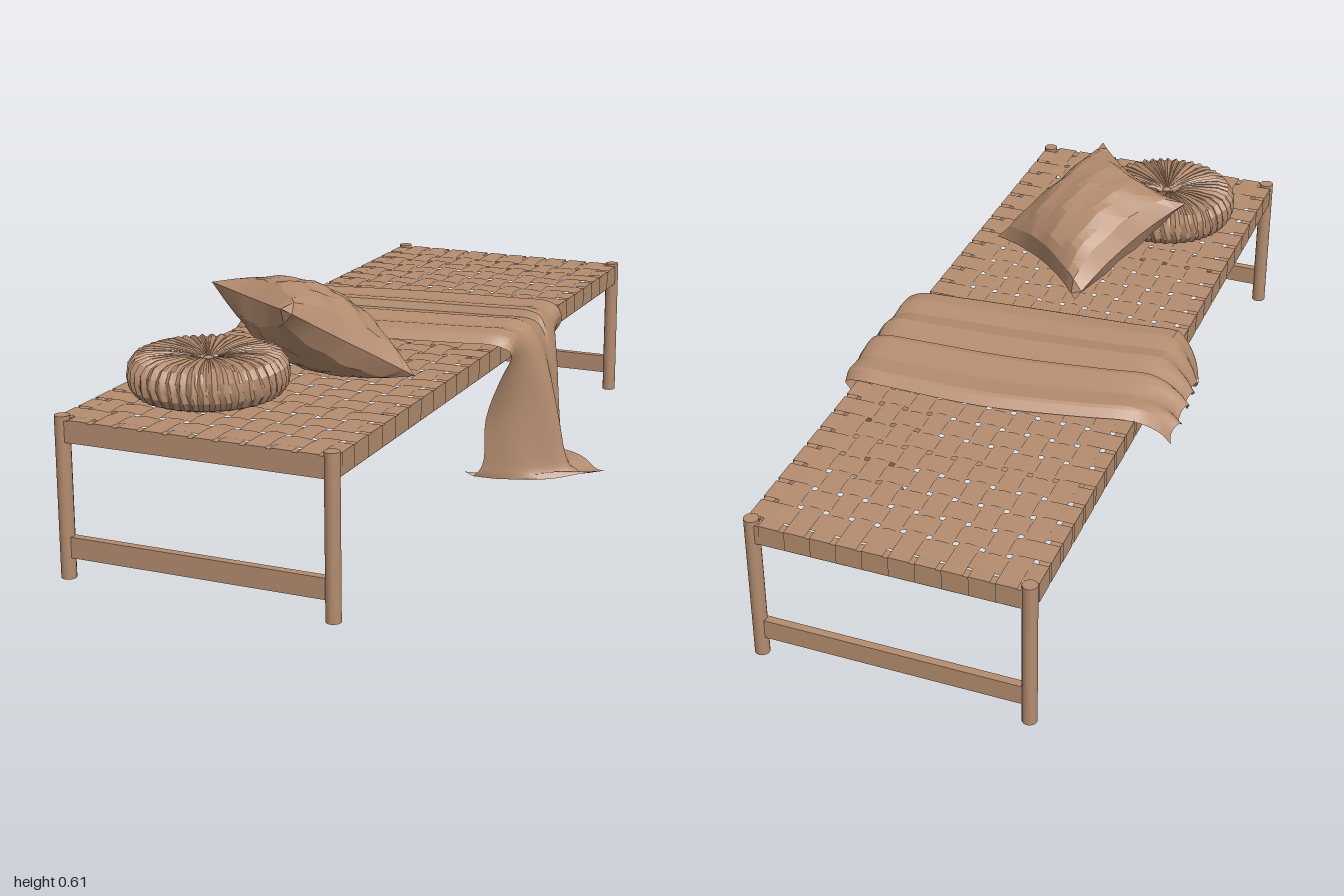
import * as THREE from 'three';
import { toCreasedNormals } from 'three/addons/utils/BufferGeometryUtils.js';

const tan = new THREE.MeshStandardMaterial({ color: 0xb58d70, side: THREE.DoubleSide });
tan.name = 'warm tan';

const XL = -0.398, XR = 0.264, ZE = 0.976;   // leg centres
const XM = (XL + XR) / 2;

function add(group, name, geometry, x = 0, y = 0, z = 0) {
  const mesh = new THREE.Mesh(geometry, tan);
  mesh.name = name;
  mesh.position.set(x, y, z);
  group.add(mesh);
  return mesh;
}

// Surface from a rule fn(u, v) -> [x, y, z], with u and v in 0..1
function sheet(nu, nv, fn, crease = 0.45) {
  const pos = [], index = [];
  for (let i = 0; i <= nu; i++) {
    for (let j = 0; j <= nv; j++) {
      pos.push(...fn(i / nu, j / nv));
      if (i < nu && j < nv) {
        const a = i * (nv + 1) + j, b = a + nv + 1;
        index.push(a, a + 1, b, b, a + 1, b + 1);
      }
    }
  }
  const g = new THREE.BufferGeometry();
  g.setAttribute('position', new THREE.Float32BufferAttribute(pos, 3));
  g.setIndex(index);
  return toCreasedNormals(g, crease);
}

// Flat strap following (along, y) points, running in x or in z
function strap(points, centre, width, alongX) {
  return sheet(points.length - 1, 1, (u, v) => {
    const [a, y] = points[Math.round(u * (points.length - 1))];
    const c = centre + (v - 0.5) * width;
    return alongX ? [a, y, c] : [c, y, a];
  });
}

function buildFrame() {
  const g = new THREE.Group();
  g.name = 'bedFrame';
  for (const x of [XL, XR]) {
    for (const z of [-ZE, ZE]) add(g, 'leg', new THREE.CylinderGeometry(0.018, 0.018, 0.385, 14), x, 0.1925, z);
    add(g, 'sideRail', new THREE.BoxGeometry(0.026, 0.05, 2 * ZE), x, 0.35, 0);
  }
  for (const z of [-ZE, ZE]) {
    add(g, 'endRail', new THREE.BoxGeometry(XR - XL, 0.05, 0.026), XM, 0.35, z);
    add(g, 'endStretcher', new THREE.BoxGeometry(XR - XL, 0.05, 0.02), XM, 0.076, z);
  }
  // Bowed braces below the webbing
  for (const z of [-0.54, 0, 0.54]) {
    const bar = new THREE.BoxGeometry(XR - XL, 0.012, 0.04, 12, 1, 1);
    const p = bar.attributes.position;
    for (let i = 0; i < p.count; i++) {
      const k = p.getX(i) / (XR - XL) * 2;
      p.setY(i, p.getY(i) - 0.02 * (1 - k * k));
    }
    bar.computeVertexNormals();
    add(g, 'curvedBrace', bar, XM, 0.342, z);
  }
  return g;
}

function buildWebbing() {
  const g = new THREE.Group();
  g.name = 'wovenWebbing';
  const px = 0.0627, pz = 0.0742, nx = 10, nz = 26, top = 0.3785;
  const xs = Array.from({ length: nx }, (_, i) => XM + (i - (nx - 1) / 2) * px);
  const zs = Array.from({ length: nz }, (_, j) => (j - (nz - 1) / 2) * pz);
  const wave = (i, j) => 0.376 + ((i + j) % 2 ? 0.003 : -0.003);
  // Each strap folds down over the rails at both ends
  const wrap = (lo, hi, mid) => [
    [lo - 0.015, 0.327], [lo - 0.015, top], [lo + 0.014, top], ...mid,
    [hi - 0.014, top], [hi + 0.015, top], [hi + 0.015, 0.327]];
  zs.forEach((z, j) => add(g, 'crossStrap',
    strap(wrap(XL, XR, xs.map((x, i) => [x, wave(i, j)])), z, pz - 0.012, true)));
  xs.forEach((x, i) => add(g, 'longStrap',
    strap(wrap(-ZE, ZE, zs.map((z, j) => [z, wave(i, j + 1)])), x, px - 0.012, false)));
  return g;
}

// Round cushion with radial pleats
function buildRoundCushion() {
  const g = new THREE.Group();
  g.name = 'roundCushion';
  const profile = [[0, 0.004], [0.14, 0], [0.168, 0.01], [0.182, 0.03], [0.186, 0.053], [0.182, 0.076],
    [0.168, 0.096], [0.14, 0.105], [0.09, 0.104], [0.045, 0.098], [0.012, 0.088], [0, 0.086]];
  const geo = new THREE.LatheGeometry(profile.map(([r, y]) => new THREE.Vector2(r, y)), 176);
  const p = geo.attributes.position;
  for (let i = 0; i < p.count; i++) {
    const x = p.getX(i), y = p.getY(i), z = p.getZ(i);
    const r = Math.hypot(x, z), a = Math.atan2(z, x);
    const pleat = Math.cos(44 * a + Math.sin(5 * a) + 0.8 * Math.sin(y * 60));
    const k = 1 + 0.018 * pleat * Math.min(1, r / 0.1);
    p.setXYZ(i, x * k, y + (y > 0.06 ? 0.0035 * pleat * Math.min(1, r / 0.06) : 0), z * k);
  }
  add(g, 'pleatedCover', toCreasedNormals(geo, 0.4));
  add(g, 'centreButton', new THREE.SphereGeometry(0.012, 12, 6).scale(1, 0.4, 1), 0, 0.089, 0);
  g.position.set(-0.182, 0.379, 0.69);
  return g;
}

// Square pillow leaning on the round cushion
function buildPillow() {
  const A = new THREE.Vector3(-0.10, 0.392, 0.155), B = new THREE.Vector3(0.21, 0.392, 0.40);
  const C = new THREE.Vector3(0.0, 0.592, 0.665), D = new THREE.Vector3(-0.31, 0.578, 0.43);
  const normal = new THREE.Vector3().subVectors(D, A).cross(new THREE.Vector3().subVectors(B, A)).normalize();
  const g = new THREE.Group();
  g.name = 'squarePillow';
  for (const s of [1, -1]) {
    add(g, s > 0 ? 'pillowTop' : 'pillowUnderside', sheet(14, 14, (u, v) => {
      const a = 2 * u - 1, b = 2 * v - 1;
      const pu = (1 + a * (1 - 0.13 * (1 - b * b))) / 2, pv = (1 + b * (1 - 0.13 * (1 - a * a))) / 2;
      const P = A.clone().lerp(B, pu).lerp(D.clone().lerp(C, pu), pv);
      const body = Math.max(0, (1 - a * a) * (1 - b * b));
      const h = 0.1 * Math.pow(body, 0.5) + 0.006 * Math.sin(9 * a + 4 * b) * Math.sin(7 * b - 3 * a) * Math.min(1, body * 4);
      P.addScaledVector(normal, s * h);
      return [P.x, Math.max(P.y, 0.381), P.z];
    }, 0.2));
  }
  return g;
}

// Throw blanket: [x, y, back z, front z, inward curl of the side edges]
function buildBlanket() {
  const stations = [
    [-0.50, 0.335, -0.28, 0.108, 0], [-0.465, 0.37, -0.285, 0.112, 0], [-0.40, 0.402, -0.31, 0.112, 0],
    [-0.28, 0.405, -0.34, 0.10, 0], [-0.05, 0.405, -0.38, 0.085, 0], [0.18, 0.408, -0.387, 0.06, 0],
    [0.28, 0.407, -0.387, 0.045, 0], [0.325, 0.375, -0.37, 0.025, 0.01], [0.362, 0.29, -0.345, 0.005, 0.09],
    [0.39, 0.17, -0.32, -0.015, 0.17], [0.41, 0.06, -0.305, -0.025, 0.2], [0.435, 0.016, -0.32, -0.02, 0.25],
    [0.505, 0.012, -0.36, -0.02, 0.36]];
  const path = new THREE.CatmullRomCurve3(stations.map(s => new THREE.Vector3(s[0], s[1], s[2])), false, 'catmullrom', 0.5);
  const edge = new THREE.CatmullRomCurve3(stations.map(s => new THREE.Vector3(s[3], s[4], 0)), false, 'catmullrom', 0.5);
  const clamp = THREE.MathUtils.clamp;
  // Raised folds across the width, with a sharp step between two layers
  const folds = [[0, -0.022], [0.05, 0.002], [0.2, -0.003], [0.36, 0.012], [0.4, 0.009], [0.42, -0.01],
    [0.5, -0.004], [0.6, 0.006], [0.72, -0.005], [0.84, 0.005], [0.95, 0], [1, -0.022]];
  const fold = v => {
    const i = Math.max(1, folds.findIndex(f => f[0] >= v));
    const [a, b] = [folds[i - 1], folds[i]];
    return a[1] + (b[1] - a[1]) * (v - a[0]) / (b[0] - a[0]);
  };
  const geo = sheet(48, 50, (u, v) => {
    const P = path.getPoint(u), E = edge.getPoint(u);
    const st = u * (stations.length - 1);
    const flap = clamp((2 - st) / 2, 0, 1), hang = clamp((st - 6.5) / 2, 0, 1);
    const flat = 1 - Math.max(flap * 0.6, hang), w = Math.abs(2 * v - 1);
    let x = P.x - Math.max(0, E.y) * w * w * (v < 0.5 ? 1 : 0.92);
    let y = P.y + fold(v) * flat;
    x += hang * 0.012 * (Math.sin(17 * v + 1 + st * 0.3) - 1) * (1 - w * w);
    x += flap * (0.05 * v * v + 0.008 * Math.sin(30 * v));
    y -= flap * (0.09 * v * v * v + 0.012 * Math.sin(30 * v + 1));
    if (st > 11) y += 0.008 * Math.sin(15 * v + st * 2);
    const z = P.z + (E.x - P.z) * v;
    return [x, Math.max(y, 0.003), z];
  }, 0.3);
  const g = new THREE.Group();
  g.name = 'throwBlanket';
  add(g, 'blanketCloth', geo);
  return g;
}

export function createModel() {
  const model = new THREE.Group();
  model.name = 'daybed';
  model.add(buildFrame(), buildWebbing(), buildRoundCushion(), buildPillow(), buildBlanket());
  return model;
}
